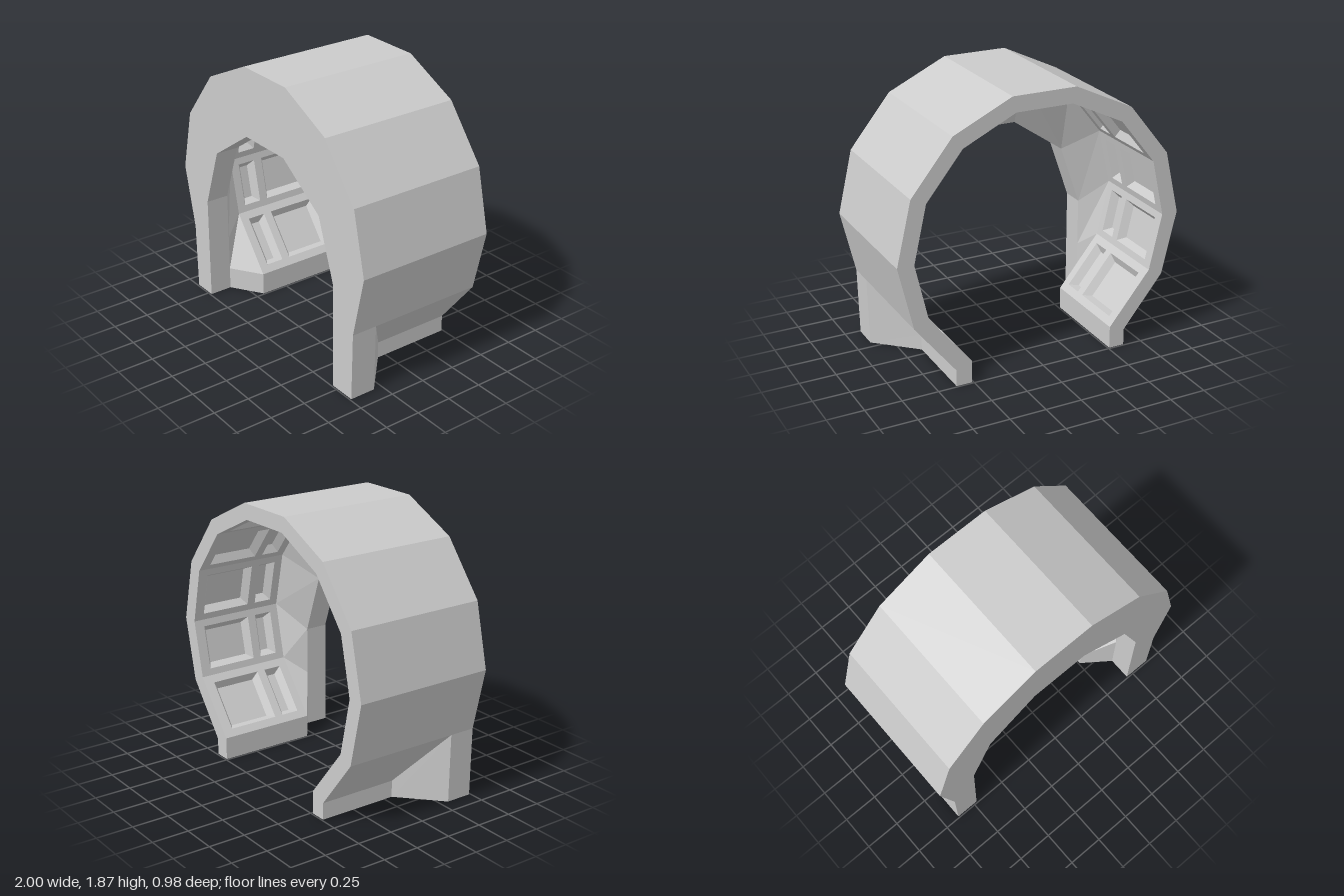
import * as THREE from 'three';

const material = new THREE.MeshStandardMaterial({ color: 0xcccccc, flatShading: true, side: THREE.DoubleSide });
const FRONT = 0.49, BACK = -0.49, RIM = 0.33, RING = 0.19;

// Half profiles (x, y) from the +x foot up to the crown.
const frontOuter = [[0.89, 0], [0.9, 0.47], [1, 0.9], [0.9, 1.33], [0.62, 1.68], [0.22, 1.87]];
const backOuter = [[0.62, 0], [0.62, 0.115], ...frontOuter.slice(1)];
const rimInner = [[0.712, 0], [0.712, 0.155], [0.712, 0.4], [0.712, 0.73], [0.567, 1.145], [0.567, 1.145], [0.203, 1.395]];
const ringInner = [[0.51, 0], [0.51, 0.155], [0.8, 0.515], [0.887, 0.9], [0.8, 1.285], [0.553, 1.593], [0.195, 1.765]];

// Whole arch from a half profile; the front opening sits slightly off centre.
const full = (half, shift = 0) => [
  ...half.map(([x, y]) => [x + shift, y]),
  ...half.map(([x, y]) => [-x + shift, y]).reverse(),
];
const SHIFT = -0.012;
const at = (path, z) => path.map(([x, y]) => new THREE.Vector3(x, y, z));
const pts = (list) => list.map((p) => new THREE.Vector3(...p));

// Collects quads into one flat-shaded mesh.
function surface(name) {
  const pos = [];
  const quad = (a, b, c, d) => {
    for (const p of [a, b, c, a, c, d]) pos.push(p.x, p.y, p.z);
  };
  const loft = (A, B) => {
    for (let i = 0; i < A.length - 1; i++) quad(A[i], B[i], B[i + 1], A[i + 1]);
  };
  const mesh = () => {
    const g = new THREE.BufferGeometry();
    g.setAttribute('position', new THREE.Float32BufferAttribute(pos, 3));
    g.computeVertexNormals();
    const m = new THREE.Mesh(g, material);
    m.name = name;
    return m;
  };
  return { quad, loft, mesh };
}

// One inner facet with a narrow and a square bevelled recess.
function cofferedFacet(s, p, q) {
  const dir = new THREE.Vector2(q[0] - p[0], q[1] - p[1]);
  const len = dir.length();
  dir.normalize();
  const point = (u, z, depth = 0) => new THREE.Vector3(
    p[0] + dir.x * u + dir.y * depth, p[1] + dir.y * u - dir.x * depth, z);
  const corners = (u0, u1, z0, z1, depth) =>
    [point(u0, z1, depth), point(u0, z0, depth), point(u1, z0, depth), point(u1, z1, depth)];
  const us = [0, 0.12 * len, 0.88 * len, len];
  const zs = [RING, 0.13, 0.0, -0.06, -0.42, BACK];
  for (let i = 0; i < 3; i++) {
    for (let j = 0; j < 5; j++) {
      const rect = [us[i], us[i + 1], zs[j], zs[j + 1]];
      const rimLoop = corners(...rect, 0);
      if (i !== 1 || j % 2 === 0) {
        s.quad(...rimLoop);
        continue;
      }
      const inset = 0.035;
      const floor = corners(rect[0] + inset, rect[1] - inset, rect[2] - inset, rect[3] + inset, 0.05);
      s.quad(...floor);
      for (let k = 0; k < 4; k++) {
        const n = (k + 1) % 4;
        s.quad(rimLoop[k], rimLoop[n], floor[n], floor[k]);
      }
    }
  }
}

// Outer leg, sloping wedge and foot on one side.
function foot(side) {
  const s = surface(side > 0 ? 'leftFoot' : 'rightFoot');
  const loft = (A, B) => {
    const [a, b] = [A, B].map((l) => pts(l.map(([x, y, z]) => [x * side, y, z])));
    if (side > 0) s.loft(a, b);
    else s.loft(b, a);
  };
  const leg = frontOuter.slice(0, 2);
  const rimX = 0.712 + SHIFT * side;
  loft(leg.map((p) => [...p, FRONT]), leg.map((p) => [...p, 0.31]));
  loft(leg.map((p) => [...p, 0.31]), [[0.62, 0, 0.06], [0.62, 0.115, 0.06]].map((p, i) => p));
  // The wedge's top edge meets the sloping underside of the barrel.
  loft([[0.62, 0, 0.06], [0.62, 0.115, 0.06], [0.9, 0.47, 0.31]],
    [[0.62, 0, BACK], [0.62, 0.115, BACK], [0.9, 0.47, BACK]]);
  // Sole
  loft([[0.89, 0, FRONT], [0.89, 0, 0.31], [0.62, 0, 0.06], [0.62, 0, BACK]],
    [[rimX, 0, FRONT], [rimX, 0, RIM], [0.51, 0, RING], [0.51, 0, BACK]]);
  // Inner side of the foot
  loft([[0.51, 0, BACK], [0.51, 0.155, BACK]], [[0.51, 0, RING], [0.51, 0.155, RING]]);
  return s.mesh();
}

export function createModel() {
  const group = new THREE.Group();
  const outer = full(frontOuter), rim = full(rimInner, SHIFT), ring = full(ringInner);

  // Thick front face
  const outline = [...outer, ...rim.filter((p, i) => i !== 5 && i !== 8).reverse()];
  const face = new THREE.Mesh(
    new THREE.ShapeGeometry(new THREE.Shape(outline.map((p) => new THREE.Vector2(...p)))), material);
  face.position.z = FRONT;
  face.name = 'frontFace';
  group.add(face);

  // Faceted outer barrel
  const barrel = surface('outerBarrel');
  const arch = outer.slice(1, -1);
  barrel.loft(at(arch, FRONT), at(arch, BACK));
  group.add(barrel.mesh());

  // Thin back edge
  const back = surface('backEdge');
  back.loft(at(full(backOuter), BACK), at(ring, BACK));
  group.add(back.mesh());

  // Opening rim and the wall behind it
  const opening = surface('openingRim');
  opening.loft(at(rim, RIM), at(rim, FRONT));
  opening.loft(at(ring, RING), at(rim, RIM));
  group.add(opening.mesh());

  // Coffered lining
  const lining = surface('cofferedLining');
  for (let i = 1; i < ring.length - 2; i++) cofferedFacet(lining, ring[i], ring[i + 1]);
  group.add(lining.mesh());

  for (const side of [1, -1]) group.add(foot(side));
  return group;
}
